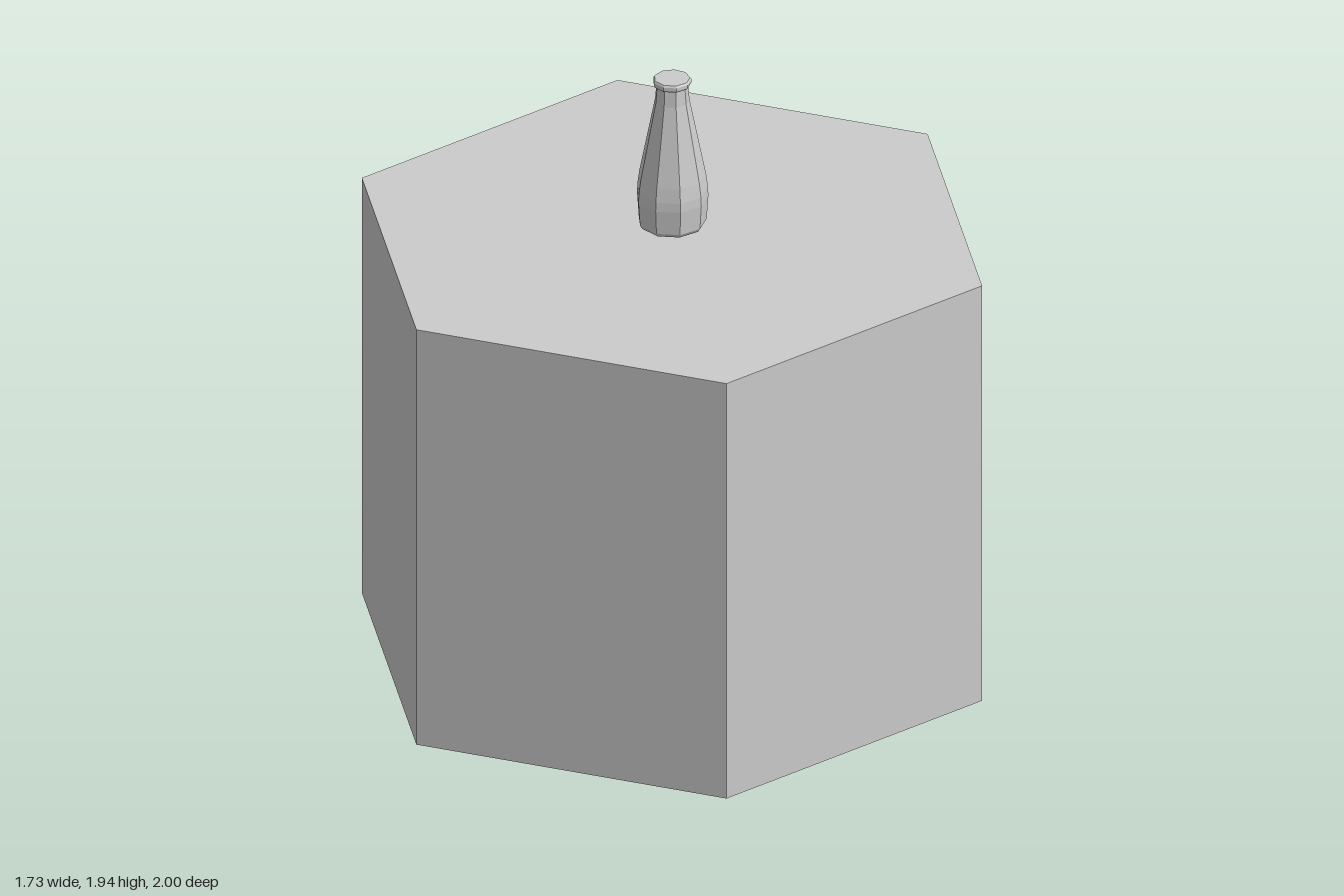
import * as THREE from 'three';

export function createModel() {
  const group = new THREE.Group();
  const material = new THREE.MeshStandardMaterial({ color: 0xcccccc, flatShading: true });

  const add = (name, geometry) => {
    const mesh = new THREE.Mesh(geometry, material);
    mesh.name = name;
    group.add(mesh);
    return mesh;
  };

  // Six-sided base with corners towards front and back
  const baseHeight = 1.415;
  add('hexagonalBase', new THREE.CylinderGeometry(1, 1, baseHeight, 6)).position.y = baseHeight / 2;

  // Nine-sided bottle hovering just above the base: [radius, height]
  const profile = [
    [0, 1.445], [0.097, 1.445], [0.105, 1.457], [0.11, 1.535], [0.109, 1.565],
    [0.103, 1.61], [0.053, 1.865], [0.049, 1.915], [0.056, 1.918],
    [0.059, 1.924], [0.059, 1.934], [0.055, 1.94], [0, 1.94],
  ].map(([r, y]) => new THREE.Vector2(r, y));
  const turn = Math.PI + THREE.MathUtils.degToRad(4);
  add('bottle', new THREE.LatheGeometry(profile, 9, turn));

  return group;
}
